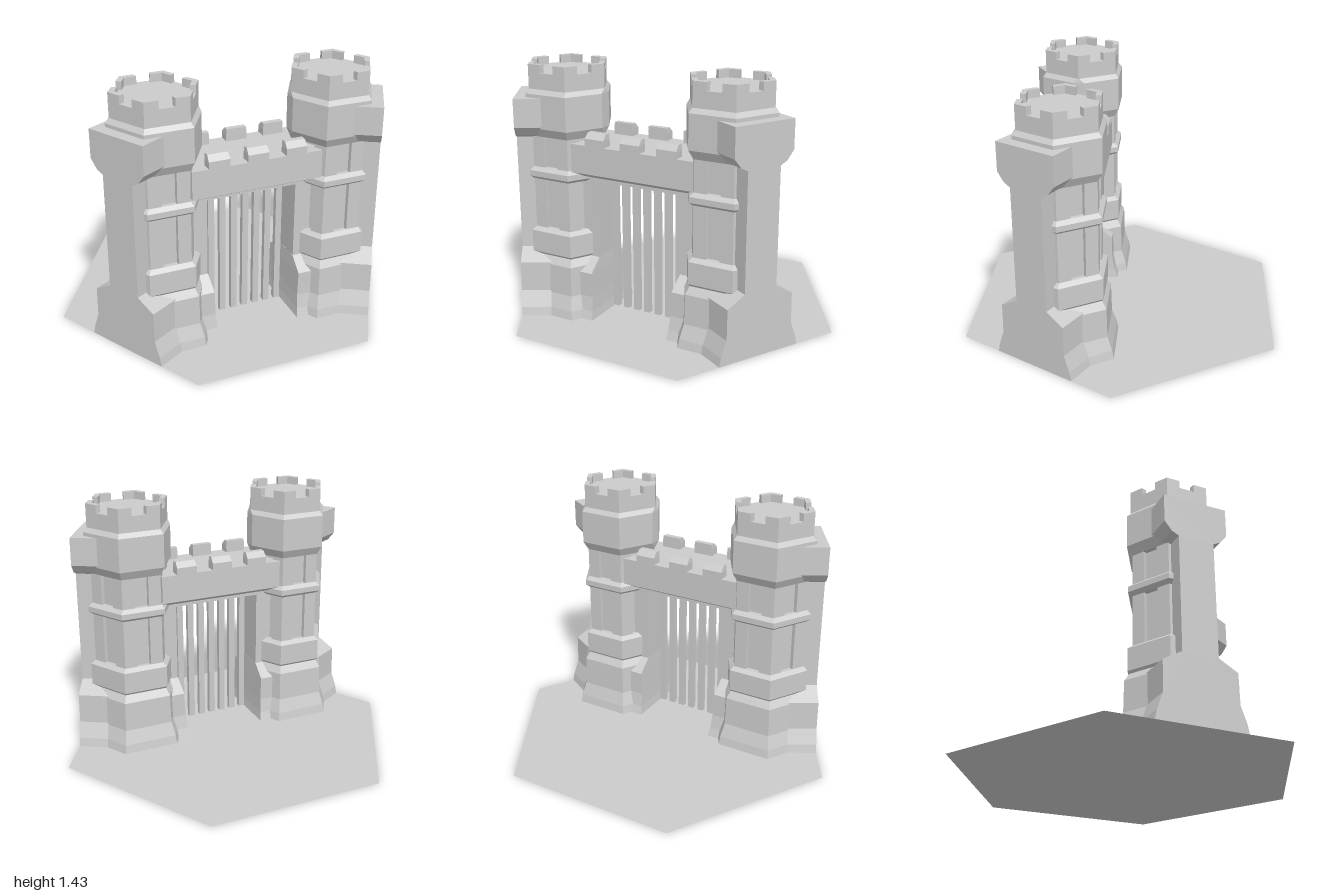
import * as THREE from 'three';

const mat = new THREE.MeshStandardMaterial({ color: 0xcccccc, flatShading: true });
const flat = new THREE.MeshStandardMaterial({ color: 0xcccccc, flatShading: true, side: THREE.DoubleSide });

function add(parent, name, geo, material = mat) {
  const m = new THREE.Mesh(geo, material);
  m.name = name;
  parent.add(m);
  return m;
}

// Closed solid through level cross-sections; rows are [y, [[x, z], ...]]
function stack(rows) {
  const pos = [];
  const v = (row, i) => {
    const p = row[1][i % row[1].length];
    pos.push(p[0], row[0], p[1]);
  };
  const n = rows[0][1].length, low = rows[0], high = rows[rows.length - 1];
  for (let k = 0; k + 1 < rows.length; k++) {
    const a = rows[k], b = rows[k + 1];
    for (let i = 0; i < n; i++) {
      v(a, i); v(b, i); v(b, i + 1);
      v(a, i); v(b, i + 1); v(a, i + 1);
    }
  }
  for (let i = 1; i < n - 1; i++) {
    v(high, 0); v(high, i + 1); v(high, i);
    v(low, 0); v(low, i); v(low, i + 1);
  }
  const g = new THREE.BufferGeometry();
  g.setAttribute('position', new THREE.Float32BufferAttribute(pos, 3));
  g.computeVertexNormals();
  return g;
}

const corner = (r, i) => [r * Math.cos(i * Math.PI / 3), r * Math.sin(i * Math.PI / 3)];
const mix = (a, b, f) => [a[0] + (b[0] - a[0]) * f, a[1] + (b[1] - a[1]) * f];

// Hexagon whose corner towards the gate (-x) is cut off flush with the opening
function hex(r) {
  const c = Math.min(r - 0.001, 0.24), t = (r - c) * Math.sqrt(3);
  return [corner(r, 0), corner(r, 1), corner(r, 2), [-c, t], [-c, -t], corner(r, 4), corner(r, 5)];
}
const hexStack = rows => stack(rows.map(([y, r]) => [y, hex(r)]));

// Hexagon with a sunk panel in the middle third of each side
function panelled(r, depth) {
  const pts = [], k = 1 - depth / (r * 0.866);
  for (let i = 0; i < 6; i++) {
    const a = corner(r, i), b = corner(r, i + 1);
    const ai = corner(r * k, i), bi = corner(r * k, i + 1);
    pts.push(a, mix(a, b, 0.32), mix(ai, bi, 0.31), mix(ai, bi, 0.69), mix(a, b, 0.68));
  }
  return pts;
}

const box = (front, t) => [[0.02, -t], [0.02, t], [-front, t], [-front, -t]];

// Symmetric outline [half width, y] extruded along x from x0 to x1
function beam(outline, x0, x1) {
  const pts = [...outline, ...outline.slice().reverse().map(([w, y]) => [-w, y])];
  const shape = new THREE.Shape(pts.map(p => new THREE.Vector2(p[0], p[1])));
  const g = new THREE.ExtrudeGeometry(shape, { depth: x1 - x0, bevelEnabled: false });
  return g.translate(0, 0, x0).rotateY(Math.PI / 2);
}

// Tower with its gate side towards local -x
function tower(side) {
  const g = new THREE.Group();
  g.name = side > 0 ? 'leftTower' : 'rightTower';
  add(g, 'towerBase', hexStack([[0, 0.32], [0.05, 0.31], [0.13, 0.28], [0.3, 0.275], [0.35, 0.24]]));
  add(g, 'lowerBand', hexStack([[0.33, 0.235], [0.355, 0.257], [0.48, 0.257], [0.5, 0.229]]));
  add(g, 'panelledShaft', stack([[0.45, panelled(0.228, 0.022)], [1.07, panelled(0.228, 0.022)]]));
  add(g, 'middleRing', hexStack([[0.785, 0.229], [0.803, 0.254], [0.835, 0.254], [0.855, 0.229]]));
  add(g, 'towerHead', hexStack([[1.03, 0.229], [1.08, 0.26], [1.27, 0.26], [1.295, 0.238], [1.385, 0.238]]));

  // L-shaped merlons on the six corners
  for (let i = 0; i < 6; i++) {
    const o = k => corner(0.238, i + k), n = k => corner(0.203, i + k);
    const pts = [n(0), mix(n(0), n(-1), 0.32), mix(o(0), o(-1), 0.32), o(0),
      mix(o(0), o(1), 0.32), mix(n(0), n(1), 0.32)];
    add(g, 'towerMerlon', stack([[1.38, pts], [1.43, pts]]));
  }

  // Gate pier and its stepped footing
  add(g, 'gatePier', stack([[0, box(0.24, 0.1)], [0.83, box(0.24, 0.1)]]));
  add(g, 'pierFooting', stack([[0, box(0.262, 0.225)], [0.05, box(0.255, 0.208)],
    [0.13, box(0.25, 0.192)], [0.27, box(0.245, 0.19)], [0.34, box(0.241, 0.1)]]));

  // Wall stub that meets the tile edge
  const stub = add(g, 'edgeButtress', beam([[0.25, 0], [0.24, 0.05], [0.207, 0.14], [0.205, 0.31],
    [0.1, 0.37], [0.1, 1.02], [0.14, 1.04], [0.18, 1.09], [0.18, 1.25]], 0, 0.289));
  stub.rotation.y = -side * Math.PI / 6;

  g.position.x = 0.5 * side;
  g.rotation.y = side > 0 ? 0 : Math.PI;
  return g;
}

export function createModel() {
  const model = new THREE.Group();
  model.name = 'castleGate';

  add(model, 'hexTile', new THREE.CircleGeometry(1, 6, Math.PI / 2).rotateX(-Math.PI / 2), flat);

  // Gate frame: x along the wall, z towards the outside
  const gate = new THREE.Group();
  gate.name = 'gatehouse';
  gate.position.set(0.1443, 0, 0.25);
  gate.rotation.y = Math.PI / 6;
  model.add(gate);

  for (const side of [1, -1]) gate.add(tower(side));

  add(gate, 'lintel', beam([[0.1, 0.79], [0.1, 0.84]], -0.45, 0.45));
  add(gate, 'wallWalk', beam([[0.13, 0.82], [0.183, 0.85], [0.183, 1.01]], -0.372, 0.372));

  // Wall merlons, sloped on the outside
  for (const f of [1, -1]) {
    for (let i = -1; i <= 1; i++) {
      const slab = (w, a, b) => [[w, a], [w, b], [-w, b], [-w, a]];
      const m = add(gate, 'wallMerlon', stack([[1, slab(0.06, 0.12, 0.183)],
        [1.05, slab(0.06, 0.12, 0.183)], [1.08, slab(0.057, 0.12, 0.153)]]));
      m.position.x = i * 0.22;
      m.rotation.y = f > 0 ? 0 : Math.PI;
    }
  }

  // Portcullis
  for (let i = -3; i <= 3; i++) {
    add(gate, 'gateBar', new THREE.BoxGeometry(0.036, 0.78, 0.03)).position.set(i * 0.068, 0.41, 0);
  }
  return model;
}
